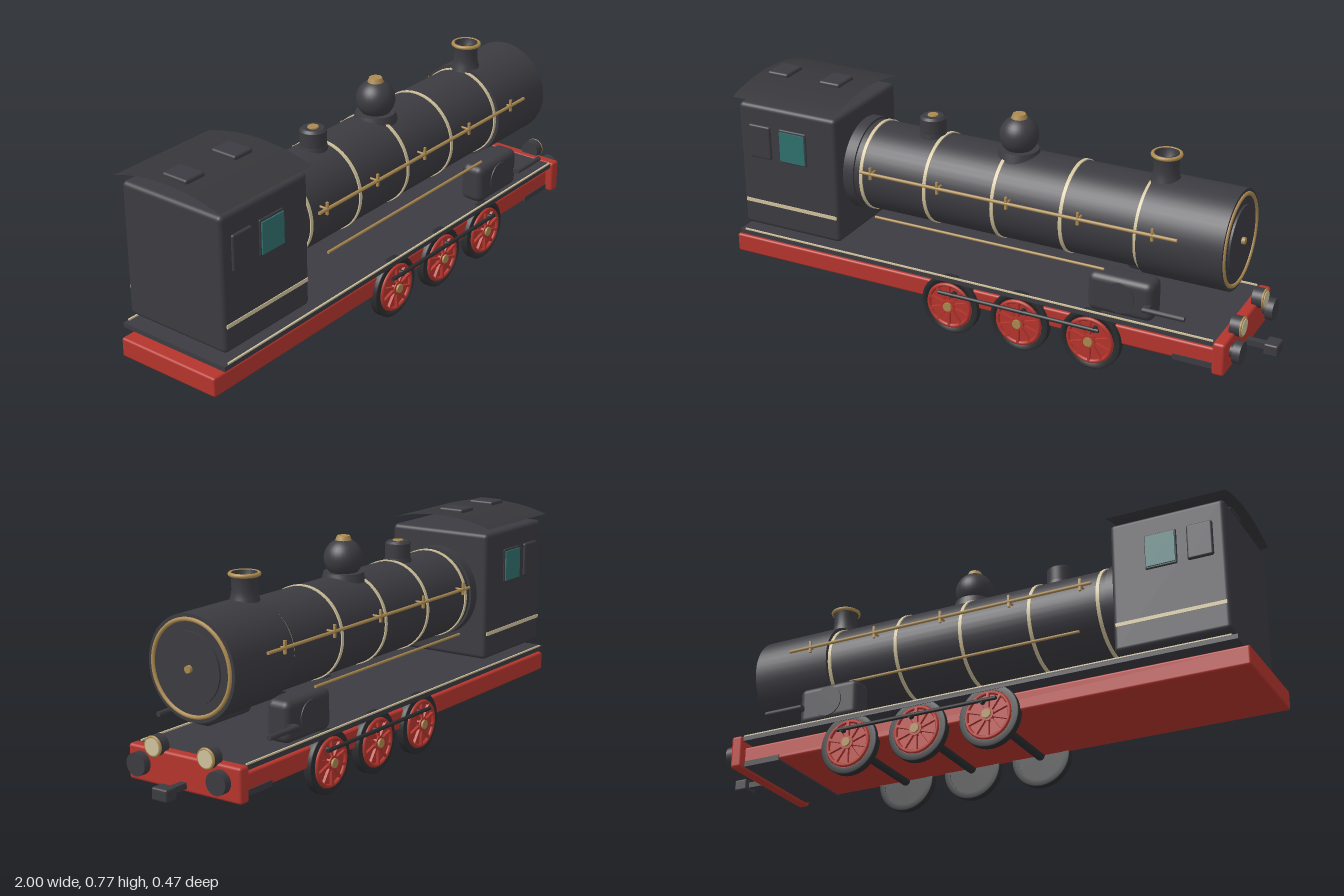
import * as THREE from 'three';
import { RoundedBoxGeometry } from 'three/addons/geometries/RoundedBoxGeometry.js';

const paint = (name, color, side = THREE.FrontSide) => {
  const m = new THREE.MeshStandardMaterial({ color, side });
  m.name = name;
  return m;
};

export function createModel() {
  const root = new THREE.Group();
  root.name = 'steamLocomotive';
  const body = paint('charcoal', 0x3c3b41);
  const black = paint('black', 0x2c2d30);
  const roofMat = paint('roofCharcoal', 0x37373b, THREE.DoubleSide);
  const red = paint('red', 0xb5352d);
  const gold = paint('brass', 0xab8a50);
  const cream = paint('cream', 0xd0c29c);
  const teal = paint('windowTeal', 0x2f706d);

  const add = (name, geo, mat, x, y, z, parent = root) => {
    const m = new THREE.Mesh(geo, mat);
    m.name = name;
    m.position.set(x, y, z);
    parent.add(m);
    return m;
  };
  // Box given by its limits, optionally with rounded edges
  const box = (name, mat, x0, x1, y0, y1, z0, z1, r = 0, parent = root) => {
    const s = [x1 - x0, y1 - y0, z1 - z0];
    const geo = r ? new RoundedBoxGeometry(...s, 3, r) : new THREE.BoxGeometry(...s);
    return add(name, geo, mat, (x0 + x1) / 2, (y0 + y1) / 2, (z0 + z1) / 2, parent);
  };
  // Cylinder running along x from x0 to x1
  const rodX = (name, mat, r, x0, x1, y, z, seg = 12) =>
    add(name, new THREE.CylinderGeometry(r, r, x1 - x0, seg).rotateZ(-Math.PI / 2), mat, (x0 + x1) / 2, y, z);
  // Cylinder running along z, centred
  const rodZ = (name, mat, r, len, x, y, z, seg = 32, parent = root) =>
    add(name, new THREE.CylinderGeometry(r, r, len, seg).rotateX(Math.PI / 2), mat, x, y, z, parent);
  // Upright cylinder
  const post = (name, mat, r0, r1, y0, y1, x, z = 0, seg = 32) =>
    add(name, new THREE.CylinderGeometry(r1, r0, y1 - y0, seg), mat, x, (y0 + y1) / 2, z);

  // Chassis and running board
  box('frame', red, -1, 0.86, 0.11, 0.178, -0.197, 0.197, 0.008);
  box('frontUnderTray', body, 0.7, 0.85, 0.105, 0.125, -0.2, 0.2);
  box('runningBoard', body, -0.97, 0.86, 0.196, 0.212, -0.215, 0.215);
  box('bufferBeam', red, 0.842, 0.885, 0.098, 0.215, -0.225, 0.225, 0.01);

  // Coupling
  box('couplingBar', body, 0.88, 0.96, 0.11, 0.13, -0.012, 0.012);
  box('couplingHead', body, 0.95, 1, 0.098, 0.14, -0.031, 0.031, 0.007);

  // Boiler and smokebox
  const axis = 0.479;
  rodX('boiler', body, 0.157, -0.56, 0.55, axis, 0, 48);
  rodX('fireboxCollar', body, 0.165, -0.56, -0.515, axis, 0, 48);
  rodX('smokebox', body, 0.171, 0.545, 0.838, axis, 0, 48);
  rodX('smokeboxDoor', body, 0.117, 0.83, 0.845, axis, 0, 48);
  rodX('doorKnob', gold, 0.012, 0.84, 0.857, axis, 0, 16);
  add('doorRing', new THREE.TorusGeometry(0.153, 0.007, 10, 56).rotateY(Math.PI / 2), gold, 0.838, axis, 0);
  for (const x of [-0.487, -0.238, 0.02, 0.272, 0.537])
    rodX('boilerBand', cream, 0.161, x - 0.006, x + 0.006, axis, 0, 48);

  // Chimney with an open brass-rimmed top
  const chimney = [[0.055, 0.625], [0.046, 0.655], [0.042, 0.675], [0.042, 0.716], [0.048, 0.724],
    [0.046, 0.733], [0.036, 0.733], [0.036, 0.68], [0.0, 0.68]].map(p => new THREE.Vector2(...p));
  add('chimney', new THREE.LatheGeometry(chimney, 32), body, 0.575, 0, 0);
  add('chimneyRim', new THREE.TorusGeometry(0.046, 0.007, 10, 32).rotateX(Math.PI / 2), gold, 0.575, 0.728, 0);

  // Steam dome
  post('domeBase', body, 0.077, 0.068, 0.615, 0.647, 0.045);
  add('dome', new THREE.SphereGeometry(0.067, 32, 20), body, 0.045, 0.694, 0);
  post('domeCap', gold, 0.028, 0.022, 0.754, 0.77, 0.045, 0, 20);

  // Safety valve
  post('valveBase', body, 0.05, 0.046, 0.62, 0.645, -0.285);
  post('valveBody', body, 0.045, 0.045, 0.64, 0.695, -0.285);
  post('valveLid', body, 0.045, 0.036, 0.695, 0.703, -0.285);
  post('valveCap', gold, 0.02, 0.018, 0.7, 0.707, -0.285, 0, 20);

  // Cab and arched sheet roof
  box('cab', body, -0.95, -0.555, 0.24, 0.704, -0.203, 0.203, 0.016);
  const roofGeo = new THREE.PlaneGeometry(0.415, 0.43, 1, 20).rotateX(-Math.PI / 2);
  const p = roofGeo.attributes.position;
  for (let i = 0; i < p.count; i++) p.setY(i, 0.758 - 0.033 * (p.getZ(i) / 0.215) ** 2);
  roofGeo.computeVertexNormals();
  add('cabRoof', roofGeo, roofMat, -0.755, 0, 0);
  for (const x of [-0.885, -0.672])
    box('roofHatch', body, x - 0.042, x + 0.042, 0.748, 0.77, -0.05, 0.05, 0.008);

  // Parts found on both sides
  for (const s of [1, -1]) {
    const side = (name, mat, x0, x1, y0, y1, za, zb, r) =>
      box(name, mat, x0, x1, y0, y1, Math.min(s * za, s * zb), Math.max(s * za, s * zb), r);

    side('boardStripe', cream, -0.95, 0.84, 0.211, 0.217, 0.208, 0.214);
    side('cabStripe', cream, -0.94, -0.565, 0.328, 0.341, 0.2, 0.206);

    // Cab side panel and window
    side('sidePanel', body, -0.908, -0.82, 0.508, 0.632, 0.196, 0.212, 0.007);
    side('windowFrame', body, -0.785, -0.675, 0.508, 0.632, 0.196, 0.208, 0.005);
    side('window', teal, -0.78, -0.68, 0.515, 0.624, 0.205, 0.213);

    // Handrail, its brackets and the lower pipe
    rodX('handrail', gold, 0.006, -0.475, 0.69, 0.522, s * 0.18, 8);
    for (let i = 0; i < 5; i++) {
      const x = -0.435 + i * 0.26;
      side('railBracket', gold, x - 0.004, x + 0.004, 0.502, 0.546, 0.176, 0.184);
      rodZ('railStud', gold, 0.004, 0.04, x, 0.522, s * 0.162, 8);
    }
    rodX('feedPipe', gold, 0.005, -0.425, 0.44, 0.359, s * 0.172, 8);

    // Steam cylinder and piston rod
    side('steamCylinder', body, 0.393, 0.625, 0.215, 0.354, 0.115, 0.205, 0.025);
    rodZ('cylinderCover', body, 0.054, 0.012, 0.508, 0.285, s * 0.203);
    rodX('pistonRod', body, 0.009, 0.6, 0.745, 0.274, s * 0.223);
    side('pistonMount', body, 0.6, 0.62, 0.266, 0.282, 0.19, 0.223);

    // Buffers and headlamps
    rodX('bufferStem', body, 0.022, 0.88, 0.905, 0.166, s * 0.16, 24);
    rodX('bufferHead', body, 0.038, 0.898, 0.925, 0.166, s * 0.16, 32);
    rodX('lampBody', body, 0.034, 0.865, 0.902, 0.229, s * 0.106, 28);
    rodX('lampLens', cream, 0.028, 0.9, 0.908, 0.229, s * 0.106, 28);
    add('lampRim', new THREE.TorusGeometry(0.03, 0.005, 8, 28).rotateY(Math.PI / 2), gold, 0.902, 0.229, s * 0.106);

    // Coupling rod between the wheels
    rodX('couplingRod', black, 0.007, -0.15, 0.45, 0.158, s * 0.227, 8);
  }

  // Driving wheels, spoked on the outer face
  for (const x of [-0.115, 0.15, 0.413]) {
    rodZ('axle', black, 0.016, 0.38, x, 0.108, 0, 16);
    for (const s of [1, -1]) {
      const wheel = new THREE.Group();
      wheel.name = 'drivingWheel';
      wheel.position.set(x, 0.108, 0);
      root.add(wheel);
      rodZ('wheelDisc', black, 0.1, 0.022, 0, 0, s * 0.196, 40, wheel);
      const tyre = [[0.086, -0.015], [0.105, -0.015], [0.108, -0.012], [0.108, 0.012], [0.105, 0.015],
        [0.086, 0.015], [0.086, -0.015]].map(q => new THREE.Vector2(...q));
      add('tyre', new THREE.LatheGeometry(tyre, 40).rotateX(Math.PI / 2), black, 0, 0, s * 0.198, wheel);
      rodZ('wheelFace', red, 0.086, 0.006, 0, 0, s * 0.208, 40, wheel);
      add('redRim', new THREE.TorusGeometry(0.078, 0.007, 8, 40), red, 0, 0, s * 0.214, wheel);
      for (let i = 0; i < 10; i++) {
        const a = (i + 0.5) / 10 * Math.PI * 2;
        const spoke = add('spoke', new THREE.BoxGeometry(0.062, 0.009, 0.012), red,
          Math.cos(a) * 0.047, Math.sin(a) * 0.047, s * 0.215, wheel);
        spoke.rotation.z = a;
      }
      rodZ('hub', red, 0.024, 0.018, 0, 0, s * 0.216, 20, wheel);
      rodZ('hubCap', gold, 0.016, 0.012, 0, 0, s * 0.226, 16, wheel);
      rodZ('crankPin', black, 0.009, 0.02, 0.02, 0.05, s * 0.22, 12, wheel);
    }
  }
  return root;
}
